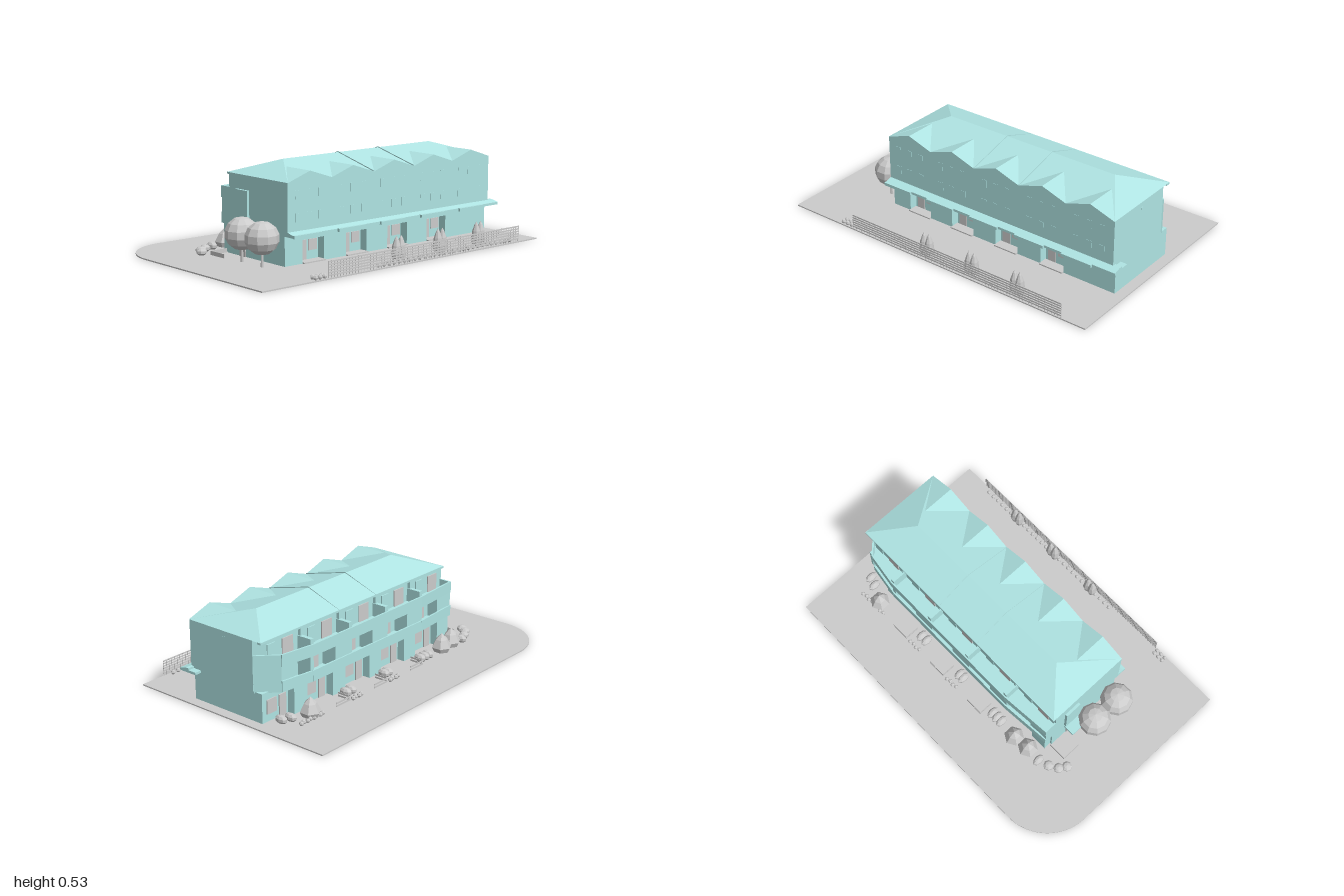
import * as THREE from 'three';

const grey = new THREE.MeshStandardMaterial({ color: 0xcccccc, flatShading: true, side: THREE.DoubleSide });
const teal = new THREE.MeshStandardMaterial({ color: 0xafe4e3, flatShading: true, side: THREE.DoubleSide });
const BASE = 0.007, UNIT = 0.302, LEFT = -0.57, RIGHT = 0.94;

export function createModel() {
  const root = new THREE.Group();
  root.name = 'terraceBuilding';
  const section = (name) => {
    const g = new THREE.Group();
    g.name = name;
    root.add(g);
    return g;
  };
  const add = (parent, name, geo, mat, x = 0, y = 0, z = 0) => {
    const m = new THREE.Mesh(geo, mat);
    m.name = name;
    m.position.set(x, y, z);
    parent.add(m);
    return m;
  };
  // Box given by its limits
  const box = (parent, name, mat, x0, x1, y0, y1, z0, z1) =>
    add(parent, name, new THREE.BoxGeometry(x1 - x0, y1 - y0, z1 - z0), mat, (x0 + x1) / 2, (y0 + y1) / 2, (z0 + z1) / 2);
  // Plan outline of [x, z] points raised from y0 to y1
  const slab = (parent, name, mat, pts, y0, y1) => {
    const shape = new THREE.Shape(pts.map(([x, z]) => new THREE.Vector2(x, -z)));
    const geo = new THREE.ExtrudeGeometry(shape, { depth: y1 - y0, bevelEnabled: false }).rotateX(-Math.PI / 2);
    return add(parent, name, geo, mat, 0, y0, 0);
  };
  // Thin wall following [x, z] points
  const wallRun = (parent, name, pts, y0, y1, t = 0.01) => {
    for (let i = 0; i + 1 < pts.length; i++) {
      const [ax, az] = pts[i], [bx, bz] = pts[i + 1];
      const len = Math.hypot(bx - ax, bz - az);
      const m = add(parent, name, new THREE.BoxGeometry(len, y1 - y0, t), teal, (ax + bx) / 2, (y0 + y1) / 2, (az + bz) / 2);
      m.rotation.y = -Math.atan2(bz - az, bx - ax);
    }
  };

  // Site plate with one rounded corner
  const site = new THREE.Shape();
  site.moveTo(-1, -0.645);
  site.lineTo(1, -0.645);
  site.lineTo(1, 0.65);
  site.lineTo(-0.7, 0.65);
  site.absarc(-0.7, 0.35, 0.3, Math.PI / 2, Math.PI, false);
  site.closePath();
  add(root, 'ground', new THREE.ExtrudeGeometry(site, { depth: BASE, bevelEnabled: false, curveSegments: 16 }).rotateX(-Math.PI / 2), grey);

  // Main storeys
  const body = section('building');
  box(body, 'groundFloor', teal, LEFT, RIGHT, 0.001, 0.172, -0.19, 0.245);
  slab(body, 'upperFloors', teal, [[LEFT, 0.32], [RIGHT, 0.32], [RIGHT, -0.13], [0.88, -0.172], [LEFT, -0.172]], 0.172, 0.45);

  // Ground floor front: piers between recessed entrances
  let from = LEFT;
  for (let k = 0; k < 4; k++) {
    const a = -0.45 + k * 0.305, b = a + 0.15;
    box(body, 'frontPier', teal, from, a, BASE, 0.172, 0.24, 0.295);
    box(body, 'frontDoor', grey, a + 0.015, a + 0.065, BASE, 0.12, 0.24, 0.25);
    box(body, 'frontWindow', grey, a + 0.08, b - 0.01, 0.06, 0.12, 0.24, 0.25);
    box(body, 'entranceLintel', teal, a, b, 0.135, 0.172, 0.24, 0.295);
    box(body, 'frontStep', grey, a, b, BASE, 0.014, 0.25, 0.31);
    from = b;
  }
  box(body, 'frontPier', teal, from, RIGHT, BASE, 0.172, 0.24, 0.295);

  // Front canopy
  box(body, 'canopy', teal, LEFT, 0.98, 0.166, 0.18, 0.25, 0.363);
  for (let k = 0; k < 5; k++) {
    box(body, 'canopyEdge', teal, LEFT + k * 0.305, LEFT + k * 0.305 + 0.19, 0.164, 0.181, 0.36, 0.376);
  }
  const slope = new THREE.Shape([[0.3, 0.18], [0.36, 0.18], [0.32, 0.191], [0.3, 0.191]].map(p => new THREE.Vector2(...p)));
  add(body, 'canopySlope', new THREE.ExtrudeGeometry(slope, { depth: 1.55, bevelEnabled: false }).rotateY(-Math.PI / 2), teal, 0.98);

  // Front windows, barely proud of the wall
  for (let k = 0; k < 5; k++) for (const y of [0.24, 0.36]) for (const dx of [0.05, 0.13, 0.21]) {
    const x = LEFT + k * UNIT + dx;
    box(body, 'upperWindow', teal, x, x + 0.035, y, y + 0.045, 0.315, 0.3215);
  }

  // Hipped roof with a row of front gables
  const verts = [];
  const face = (...p) => {
    for (let i = 1; i + 1 < p.length; i++) verts.push(...p[0], ...p[i], ...p[i + 1]);
  };
  const L = [-0.36, 0.525, 0.03], R = [0.74, 0.525, 0.03];
  const FL = [LEFT, 0.45, 0.322], FR = [RIGHT, 0.45, 0.322], BR = [RIGHT, 0.45, -0.19], BL = [LEFT, 0.45, -0.19];
  face(FL, FR, R, L);
  face(BR, BL, L, R);
  face(BL, FL, L);
  face(FR, BR, R);
  face(BL, BR, FR, FL);
  for (let k = 0; k < 5; k++) {
    const x = LEFT + k * UNIT, c = x + UNIT / 2;
    const A = [x, 0.45, 0.322], B = [x + UNIT, 0.45, 0.322], P = [c, 0.5, 0.322], Q = [c, 0.5, 0.127];
    face(A, B, P);
    face(A, P, Q);
    face(B, Q, P);
  }
  const roof = new THREE.BufferGeometry();
  roof.setAttribute('position', new THREE.Float32BufferAttribute(verts, 3));
  roof.computeVertexNormals();
  add(body, 'roof', roof, teal);
  box(body, 'rearEave', teal, LEFT, RIGHT, 0.44, 0.451, -0.19, -0.165);
  // Low party-wall upstands over the ridge
  for (const x of [0.034, 0.336]) {
    const s = new THREE.Shape([[-0.188, 0.452], [0.03, 0.53], [0.32, 0.456], [0.32, 0.44], [-0.188, 0.44]].map(([z, y]) => new THREE.Vector2(z, y)));
    add(body, 'partyUpstand', new THREE.ExtrudeGeometry(s, { depth: 0.006, bevelEnabled: false }).rotateY(-Math.PI / 2), teal, x + 0.003);
  }

  // Rear balconies on a slightly bowed outline
  const rear = section('rearBalconies');
  const bow = [[LEFT, -0.24], [-0.27, -0.265], [0.64, -0.265], [0.84, -0.235], [RIGHT, -0.135]];
  const plan = [[LEFT, -0.16], ...bow, [0.85, -0.13]];
  slab(rear, 'lowerBalconyFloor', teal, plan, 0.165, 0.18);
  slab(rear, 'upperBalconyFloor', teal, plan, 0.305, 0.325);
  wallRun(rear, 'lowerParapet', bow, 0.165, 0.225);
  wallRun(rear, 'upperParapet', bow, 0.305, 0.37);
  box(rear, 'balconyEnd', teal, LEFT, LEFT + 0.01, 0.17, 0.37, -0.24, -0.16);
  wallRun(rear, 'cornerWall', bow.slice(3), 0.17, 0.37);
  for (let k = 0; k < 5; k++) {
    const x = LEFT + k * UNIT, end = k === 0 || k === 4;
    const z = end ? -0.24 : -0.262;
    // Enclosed bay beside an open balcony
    if (k < 4) box(rear, 'rearBay', teal, x + 0.01, x + 0.12, 0.18, 0.31, z, -0.165);
    box(rear, 'bayWindow', grey, x + 0.16, x + 0.25, 0.18, 0.28, -0.178, -0.17);
    box(rear, 'topWindow', grey, x + 0.05, x + 0.13, 0.325, 0.42, -0.178, -0.17);
    box(rear, 'topDoor', teal, x + 0.18, x + 0.24, 0.325, 0.42, -0.178, -0.17);
    if (k) {
      box(rear, 'balconyDivider', teal, x - 0.012, x + 0.012, 0.18, 0.4, -0.262, -0.165);
      box(rear, 'eaveDivider', teal, x - 0.006, x + 0.006, 0.39, 0.45, -0.19, -0.165);
    }
    // Ground floor back
    box(rear, 'rearPorch', teal, x + 0.01, x + 0.11, BASE, 0.17, -0.235, -0.18);
    box(rear, 'rearDoor', grey, x + 0.13, x + 0.18, BASE, 0.13, -0.197, -0.185);
    box(rear, 'rearWindow', grey, x + 0.2, x + 0.27, 0.05, 0.13, -0.196, -0.185);
  }

  // Left side entrance and projecting panel
  box(body, 'sideCanopy', teal, -0.64, LEFT, 0.148, 0.162, -0.1, 0.0);
  box(body, 'sideDoor', grey, LEFT - 0.006, LEFT, BASE, 0.13, -0.08, -0.03);
  box(body, 'sidePanel', teal, -0.585, LEFT, 0.18, 0.37, -0.1, 0.0);
  box(body, 'sideWindow', teal, RIGHT - 0.01, RIGHT + 0.002, 0.39, 0.42, 0.06, 0.08);

  // Street fence: slats, pickets and posts
  const fence = section('fence');
  for (let i = 0; i < 6; i++) box(fence, 'fenceSlat', grey, LEFT, 0.85, 0.018 + i * 0.014, 0.026 + i * 0.014, 0.641, 0.644);
  for (let i = 0; i <= 70; i++) {
    const x = LEFT + i * 1.418 / 70;
    box(fence, 'fencePicket', grey, x, x + 0.002, BASE, 0.096, 0.639, 0.641);
  }
  // Low garden fences behind the building
  for (const x of [-0.17, 0.14, 0.45]) {
    for (const y of [0.018, 0.034]) {
      box(fence, 'gardenRail', grey, x, x + 0.11, y, y + 0.01, -0.36, -0.357);
      box(fence, 'gardenRail', grey, x, x + 0.003, y, y + 0.01, -0.36, -0.275);
    }
  }
  box(fence, 'gardenRail', grey, -0.68, LEFT, BASE, 0.03, -0.2, -0.197);
  box(fence, 'gardenRail', grey, -0.68, -0.677, BASE, 0.03, -0.2, -0.08);

  // Planting
  const plants = section('planting');
  const ball = (name, x, y, z, rx, ry, rz, n = 8) =>
    add(plants, name, new THREE.SphereGeometry(1, n, Math.max(4, n - 3)).scale(rx, ry, rz), grey, x, y, z);
  for (const z of [0.05, 0.22]) {
    ball('treeCrown', -0.66, 0.16, z, 0.093, 0.09, 0.093, 10);
    add(plants, 'treeTrunk', new THREE.CylinderGeometry(0.006, 0.008, 0.1, 6), grey, -0.66, 0.053, z);
  }
  const slim = [[0, 0], [0.018, 0.01], [0.027, 0.05], [0.022, 0.095], [0.01, 0.13], [0, 0.148]].map(p => new THREE.Vector2(...p));
  for (const c of [-0.058, 0.25, 0.55]) for (const s of [-1, 1]) {
    add(plants, 'slimConifer', new THREE.LatheGeometry(slim, 8), grey, c + s * 0.017, BASE, 0.612);
  }
  const squat = [[0, 0], [0.045, 0.008], [0.058, 0.035], [0.035, 0.08], [0, 0.116]].map(p => new THREE.Vector2(...p));
  for (const [x, z] of [[-0.5, -0.305], [-0.4, -0.315], [0.72, -0.32]]) {
    add(plants, 'coneBush', new THREE.LatheGeometry(squat, 6), grey, x, BASE, z);
  }
  for (const [x, z] of [[-0.59, -0.31], [-0.285, -0.305], [-0.25, -0.305], [-0.215, -0.305], [0.05, -0.285], [0.08, -0.285],
    [0.36, -0.285], [0.4, -0.285], [0.82, -0.275], [0.87, -0.255]]) {
    ball('shrub', x, 0.029, z, 0.023, 0.023, 0.04);
  }
  for (const [x, z] of [[-0.65, -0.29], [-0.7, -0.26], [-0.725, -0.22]]) ball('roundShrub', x, 0.027, z, 0.03, 0.021, 0.03);
  for (let i = 0; i < 28; i++) ball('hedgeBall', -0.21 + i * 0.0374, 0.018, 0.62, 0.013, 0.013, 0.013, 6);
  for (let i = 0; i < 6; i++) ball('cornerBall', -0.65 + (i % 3) * 0.03, 0.02, i < 3 ? 0.61 : 0.633, 0.014, 0.014, 0.012, 6);
  for (const [x, n] of [[0.04, 4], [0.35, 4], [0.66, 8]]) {
    for (let i = 0; i < n; i++) ball('flowerBall', x + i * 0.024, 0.02, -0.35 - (i % 2) * 0.006, 0.013, 0.013, 0.013, 6);
  }
  return root;
}
